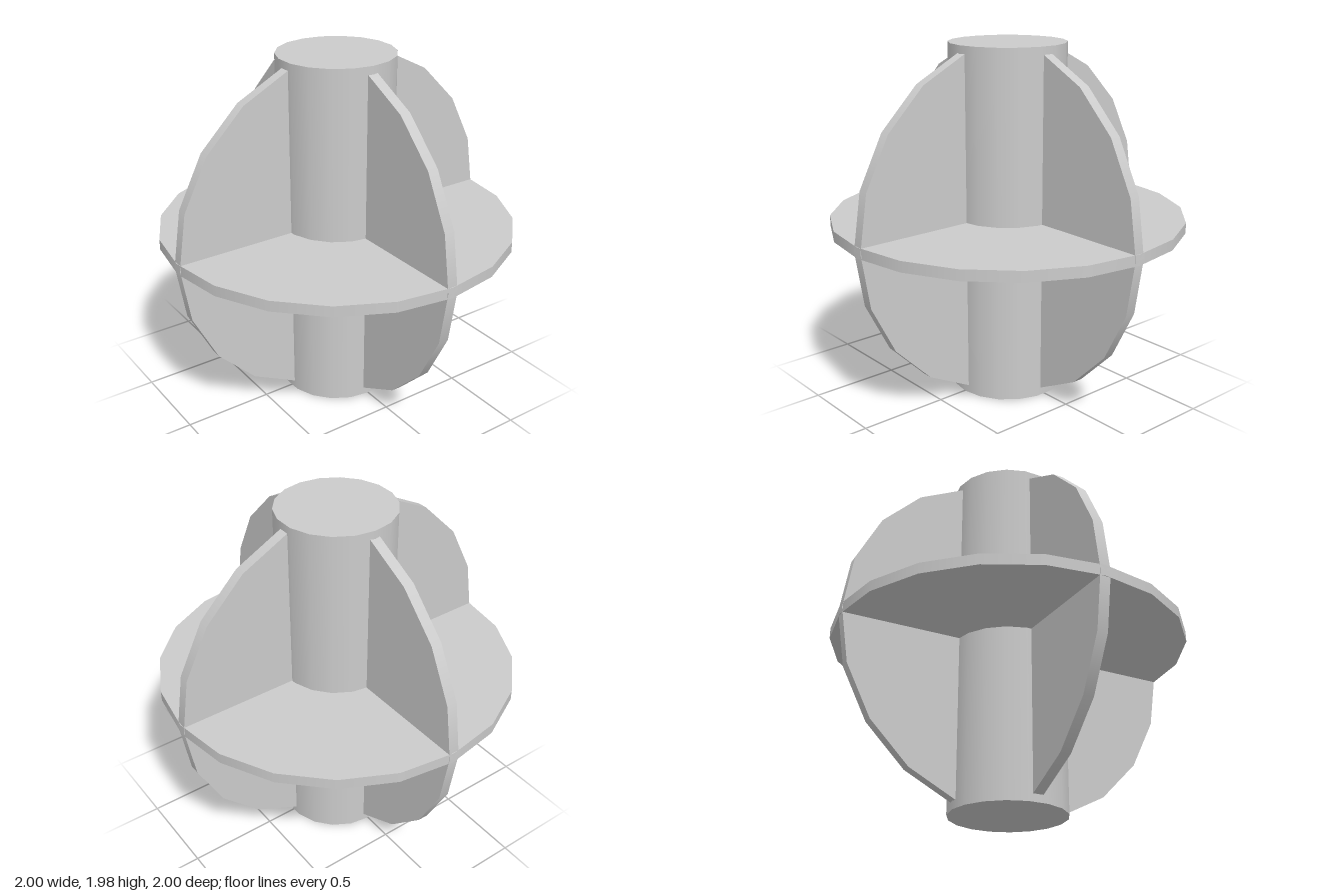
import * as THREE from 'three';

export function createModel() {
  const model = new THREE.Group();
  const material = new THREE.MeshStandardMaterial({ color: 0xcccccc });
  const height = 1.976, thickness = 0.06;
  const step = Math.PI / 10; // plates follow a 20-sided circle

  function addPart(name, geometry) {
    const mesh = new THREE.Mesh(geometry, material);
    mesh.name = name;
    mesh.position.y = height / 2;
    model.add(mesh);
    return mesh;
  }

  // Upright core
  addPart('coreCylinder', new THREE.CylinderGeometry(0.326, 0.326, height, 18));

  // Horizontal plate around the middle
  addPart('equatorPlate', new THREE.CylinderGeometry(1, 1, thickness, 20));

  // Four upright fins, each a disc sector whose straight sides end inside the core
  const fin = new THREE.CylinderGeometry(1, 1, thickness, 8, 1, false, step, 8 * step);
  fin.rotateX(Math.PI / 2);
  ['leftFin', 'backFin', 'rightFin', 'frontFin'].forEach((name, i) => {
    addPart(name, fin).rotation.y = i * Math.PI / 2;
  });

  return model;
}
